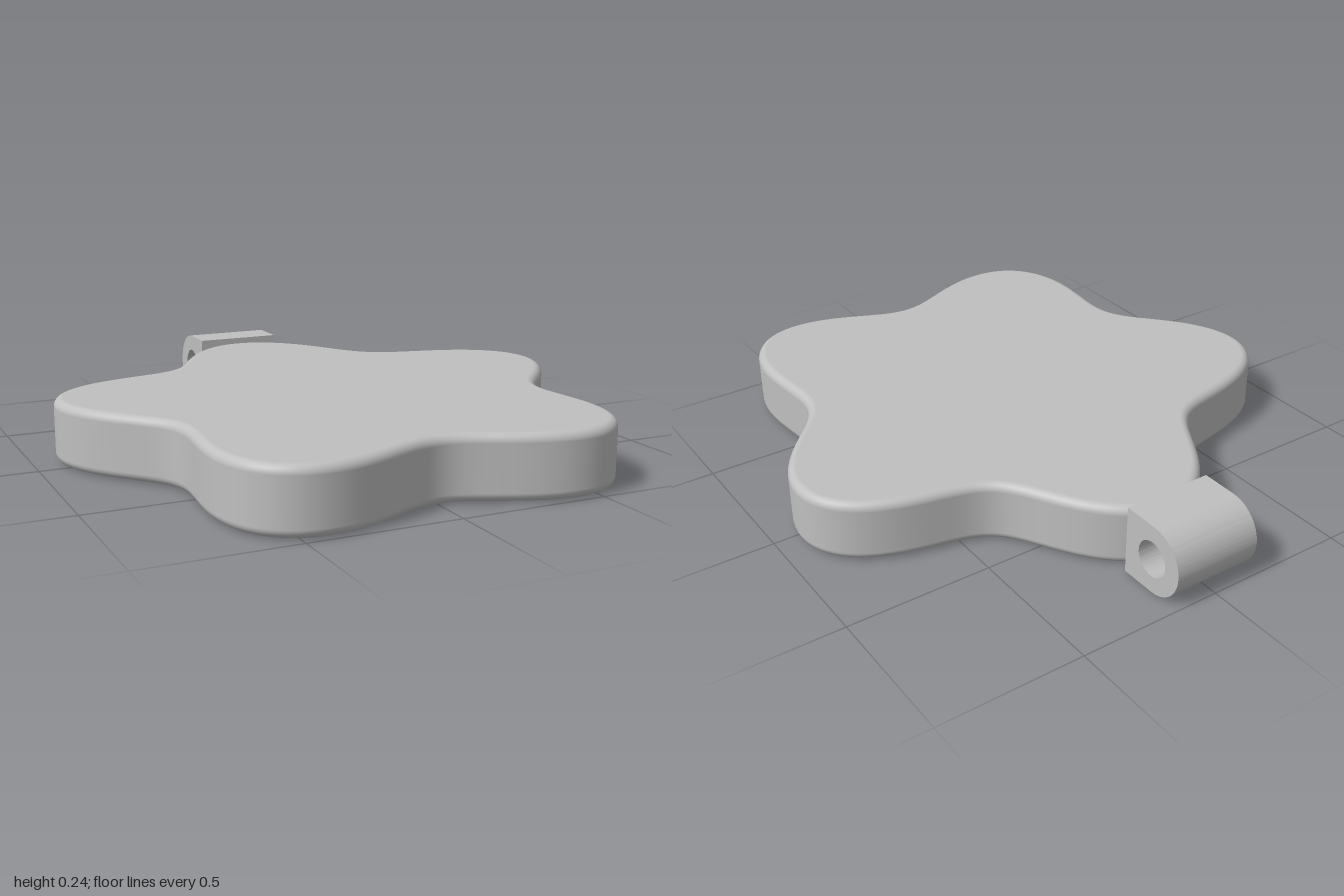
import * as THREE from 'three';
import { toCreasedNormals } from 'three/addons/utils/BufferGeometryUtils.js';

const CENTER_Z = 0.178, Y0 = 0.003, Y1 = 0.218, BEVEL = 0.03, SEGMENTS = 240;
const HOLE_R = 0.187, HOLE_DEPTH = 0.13;

// Point and outward normal on the wavy five-armed outline (t = 0 points to -z)
function outline(t) {
  const r = 0.83 + 0.13 * Math.cos(5 * t), dr = -0.65 * Math.sin(5 * t);
  const s = Math.sin(t), c = Math.cos(t);
  const dx = dr * s + r * c, dz = -dr * c + r * s, len = Math.hypot(dx, dz);
  return { x: r * s, z: CENTER_Z - r * c, nx: dz / len, nz: -dx / len };
}

// Side wall with rounded upper and lower edges
function wallGeometry() {
  const rings = [], steps = 8;
  for (const top of [false, true]) {
    for (let i = 0; i <= steps; i++) {
      const phi = (top ? i / steps : i / steps - 1) * Math.PI / 2;
      rings.push({ phi, y: (top ? Y1 - BEVEL : Y0 + BEVEL) + BEVEL * Math.sin(phi) });
    }
  }
  const pos = [], nor = [], idx = [], row = SEGMENTS + 1;
  rings.forEach(({ phi, y }, v) => {
    const cos = Math.cos(phi), inset = BEVEL * (1 - cos);
    for (let u = 0; u <= SEGMENTS; u++) {
      const p = outline(u / SEGMENTS * Math.PI * 2);
      pos.push(p.x - p.nx * inset, y, p.z - p.nz * inset);
      nor.push(p.nx * cos, Math.sin(phi), p.nz * cos);
      if (u < SEGMENTS && v < rings.length - 1) {
        const a = v * row + u;
        idx.push(a, a + row, a + 1, a + 1, a + row, a + row + 1);
      }
    }
  });
  const g = new THREE.BufferGeometry();
  g.setAttribute('position', new THREE.Float32BufferAttribute(pos, 3));
  g.setAttribute('normal', new THREE.Float32BufferAttribute(nor, 3));
  g.setIndex(idx);
  return g;
}

// Flat star shape; sign maps z onto the shape's y axis
function capShape(sign) {
  const pts = [];
  for (let u = 0; u < SEGMENTS; u++) {
    const p = outline(u / SEGMENTS * Math.PI * 2);
    pts.push(new THREE.Vector2(p.x - p.nx * BEVEL, sign * (p.z - p.nz * BEVEL)));
  }
  return new THREE.Shape(pts);
}

export function createModel() {
  const model = new THREE.Group();
  model.name = 'starPendant';
  const grey = new THREE.MeshStandardMaterial({ color: 0xbfbfbf });
  grey.name = 'grey';
  const add = (parent, name, geometry) => {
    const mesh = new THREE.Mesh(geometry, grey);
    mesh.name = name;
    parent.add(mesh);
    return mesh;
  };

  // Star body
  const body = new THREE.Group();
  body.name = 'starBody';
  model.add(body);
  add(body, 'sideWall', wallGeometry());
  add(body, 'topFace', new THREE.ShapeGeometry(capShape(-1)).rotateX(-Math.PI / 2).translate(0, Y1, 0));
  const bottom = capShape(1);
  bottom.holes.push(new THREE.Path().absarc(0, CENTER_Z, HOLE_R, 0, Math.PI * 2, true));
  add(body, 'bottomFace', new THREE.ShapeGeometry(bottom, 32).rotateX(Math.PI / 2).translate(0, Y0, 0));

  // Blind round recess in the underside
  const recess = [new THREE.Vector2(HOLE_R, HOLE_DEPTH), new THREE.Vector2(HOLE_R, Y0)];
  add(body, 'recessWall', new THREE.LatheGeometry(recess, 64)).position.z = CENTER_Z;
  add(body, 'recessCeiling', new THREE.CircleGeometry(HOLE_R, 64).rotateX(Math.PI / 2))
    .position.set(0, HOLE_DEPTH, CENTER_Z);

  // Hanging loop: rounded block with a crosswise hole
  const loop = new THREE.Shape();
  loop.moveTo(0.755, 0);
  loop.lineTo(0.88, 0);
  loop.absarc(0.88, 0.12, 0.12, -Math.PI / 2, Math.PI / 2, false);
  loop.lineTo(0.755, 0.24);
  loop.closePath();
  loop.holes.push(new THREE.Path().absarc(0.877, 0.12, 0.062, 0, Math.PI * 2, true));
  const loopGeometry = new THREE.ExtrudeGeometry(loop, { depth: 0.314, bevelEnabled: false, curveSegments: 32 })
    .translate(0, 0, -0.157).rotateY(Math.PI / 2);
  add(model, 'hangingLoop', toCreasedNormals(loopGeometry, 0.5));

  return model;
}
